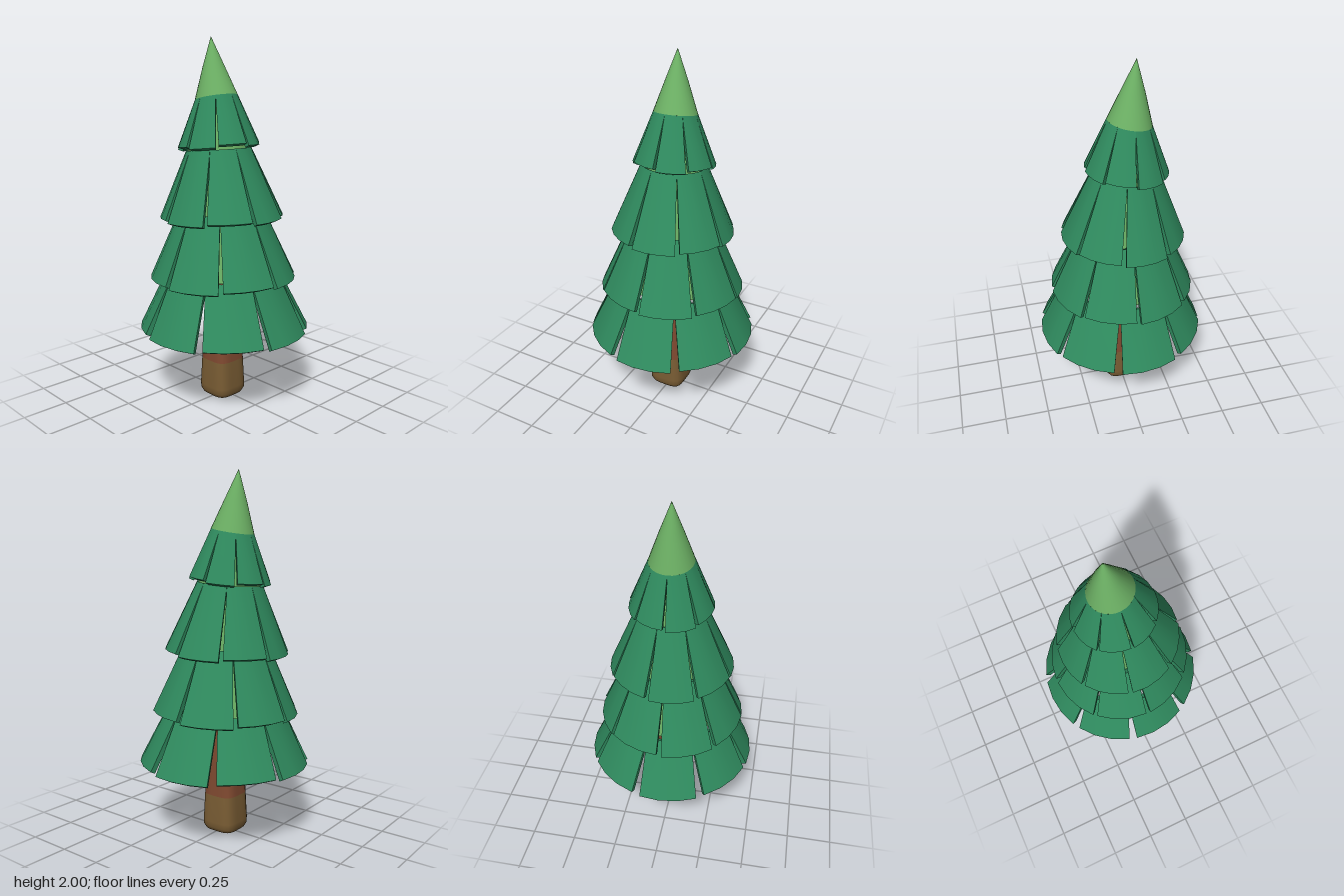
import * as THREE from 'three';
import { toCreasedNormals } from 'three/addons/utils/BufferGeometryUtils.js';

const mat = (name, color) => {
  const m = new THREE.MeshStandardMaterial({ color });
  m.name = name;
  return m;
};

// Centre line of the tree, leaning slightly backwards: [y, x, z]
const SPINE = [[0, 0, 0], [0.4, 0, 0], [0.7, -0.003, -0.008], [1.03, -0.004, -0.016],
  [1.41, -0.006, -0.037], [1.68, -0.008, -0.053], [2, -0.015, -0.087]];

function spine(y) {
  let i = 1;
  while (i < SPINE.length - 1 && SPINE[i][0] < y) i++;
  const [a, b] = [SPINE[i - 1], SPINE[i]];
  const t = (y - a[0]) / (b[0] - a[0]);
  return [a[1] + (b[1] - a[1]) * t, a[2] + (b[2] - a[2]) * t];
}

// Point around the spine on a ring tilted front to back
function ringPoint(y, r, tilt, angle) {
  const [cx, cz] = spine(y);
  const dz = r * Math.sin(angle);
  return [cx + r * Math.cos(angle), y + tilt * dz, cz + dz];
}

// Surface through rows of points; row index runs round, column index runs up
function gridGeometry(rows, extra = [], crease = 0.6) {
  const n = rows[0].length;
  const index = [];
  for (let i = 0; i < rows.length - 1; i++) {
    for (let j = 0; j < n - 1; j++) {
      const a = i * n + j, b = a + n;
      index.push(a, a + 1, b + 1, a, b + 1, b);
    }
  }
  const g = new THREE.BufferGeometry();
  g.setAttribute('position', new THREE.Float32BufferAttribute(rows.flat(2), 3));
  g.setIndex([...index, ...extra]);
  return toCreasedNormals(g, crease);
}

// One thick bough: a slice of a cone, narrowing its gaps to nothing at the top
function boughGeometry(tier, a0, a1, lift) {
  const { y0, r0, y1, r1, tilt0, tilt1, gap } = tier;
  const thick = 0.028, segments = 3;
  const len = Math.hypot(r0 - r1, y1 - y0);
  const dr = thick * (y1 - y0) / len, dy = thick * (r0 - r1) / len;
  // inner bottom, outer bottom, outer top, inner top, and back to the start
  const section = [
    [r0 - dr, y0 - dy + lift, tilt0, gap], [r0, y0 + lift, tilt0, gap],
    [r1, y1, tilt1, 0], [r1 - dr, y1 - dy, tilt1, 0],
  ];
  section.push(section[0]);
  const rows = [];
  for (let i = 0; i <= segments; i++) {
    rows.push(section.map(([r, y, tilt, g]) =>
      ringPoint(y, r, tilt, THREE.MathUtils.lerp(a0 + g / 2, a1 - g / 2, i / segments))));
  }
  const e = segments * 5;
  return gridGeometry(rows, [0, 2, 1, 0, 3, 2, e, e + 1, e + 2, e, e + 2, e + 3]);
}

// Closed loft round the spine from [y, radius, tilt] rings
function loftGeometry(rings, sides = 28) {
  const rows = [];
  for (let i = 0; i <= sides; i++) {
    const a = (i % sides) / sides * Math.PI * 2;
    rows.push(rings.map(([y, r, tilt]) => ringPoint(y, r, tilt, a)));
  }
  return gridGeometry(rows);
}

// Rounded-square loft from [y, half width] rings
function trunkGeometry(rings) {
  const rows = [], sides = 32;
  for (let i = 0; i <= sides; i++) {
    const a = (i % sides) / sides * Math.PI * 2;
    const c = Math.cos(a), s = Math.sin(a);
    const k = Math.pow(c ** 4 + s ** 4, -0.25);
    rows.push(rings.map(([y, w]) => [-0.008 + w * k * c, y, -0.005 + w * k * s]));
  }
  return gridGeometry(rows, [], 0.9);
}

export function createModel() {
  const tree = new THREE.Group();
  tree.name = 'pineTree';
  const needles = mat('needleGreen', 0x2f8a5e);
  const light = mat('lightGreen', 0x6cb064);
  const bark = mat('redBrownBark', 0x7f4930);
  const base = mat('tanBark', 0x7a5d34);

  const add = (parent, name, geometry, material) => {
    const mesh = new THREE.Mesh(geometry, material);
    mesh.name = name;
    parent.add(mesh);
  };

  // Trunk in two colours
  add(tree, 'trunkBase', trunkGeometry([[0, 0], [0, 0.075], [0.008, 0.093], [0.03, 0.104],
    [0.06, 0.105], [0.215, 0.098]]), base);
  add(tree, 'trunk', trunkGeometry([[0.215, 0.098], [0.4, 0.086], [0.76, 0.07]]), bark);

  // Light core showing through the slits, and the pointed tip
  add(tree, 'core', loftGeometry([[0.72, 0.27, 0.03], [1.05, 0.2, 0.05], [1.37, 0.17, 0.1],
    [1.42, 0.165, 0.1], [1.66, 0.09, 0.18]]), light);
  add(tree, 'coreUnderside', loftGeometry([[0.71, 0, 0], [0.71, 0.31, 0.03]]), needles);
  add(tree, 'tip', loftGeometry([[1.68, 0, 0.18], [1.68, 0.116, 0.18], [1.84, 0.06, 0.1],
    [2, 0, 0]]), light);

  // Four tiers of eight boughs, every other tier turned
  const tiers = [
    { y0: 0.415, r0: 0.47, y1: 0.73, r1: 0.315, tilt0: 0, tilt1: 0.02, gap: 0.1, turn: 15 },
    { y0: 0.7, r0: 0.402, y1: 1.07, r1: 0.235, tilt0: 0.02, tilt1: 0.04, gap: 0.065, turn: 0 },
    { y0: 1.035, r0: 0.338, y1: 1.405, r1: 0.178, tilt0: 0.035, tilt1: 0.08, gap: 0.07, turn: 13 },
    { y0: 1.42, r0: 0.222, y1: 1.68, r1: 0.116, tilt0: 0.1, tilt1: 0.18, gap: 0.07, turn: 0 },
  ];
  tiers.forEach((tier, t) => {
    const group = new THREE.Group();
    group.name = `tier${t + 1}`;
    const step = Math.PI / 4, turn = THREE.MathUtils.degToRad(tier.turn);
    for (let i = 0; i < 8; i++) {
      const a = turn + i * step;
      add(group, `bough${i + 1}`, boughGeometry(tier, a, a + step, i % 2 ? -0.006 : 0.006), needles);
    }
    tree.add(group);
  });
  return tree;
}
